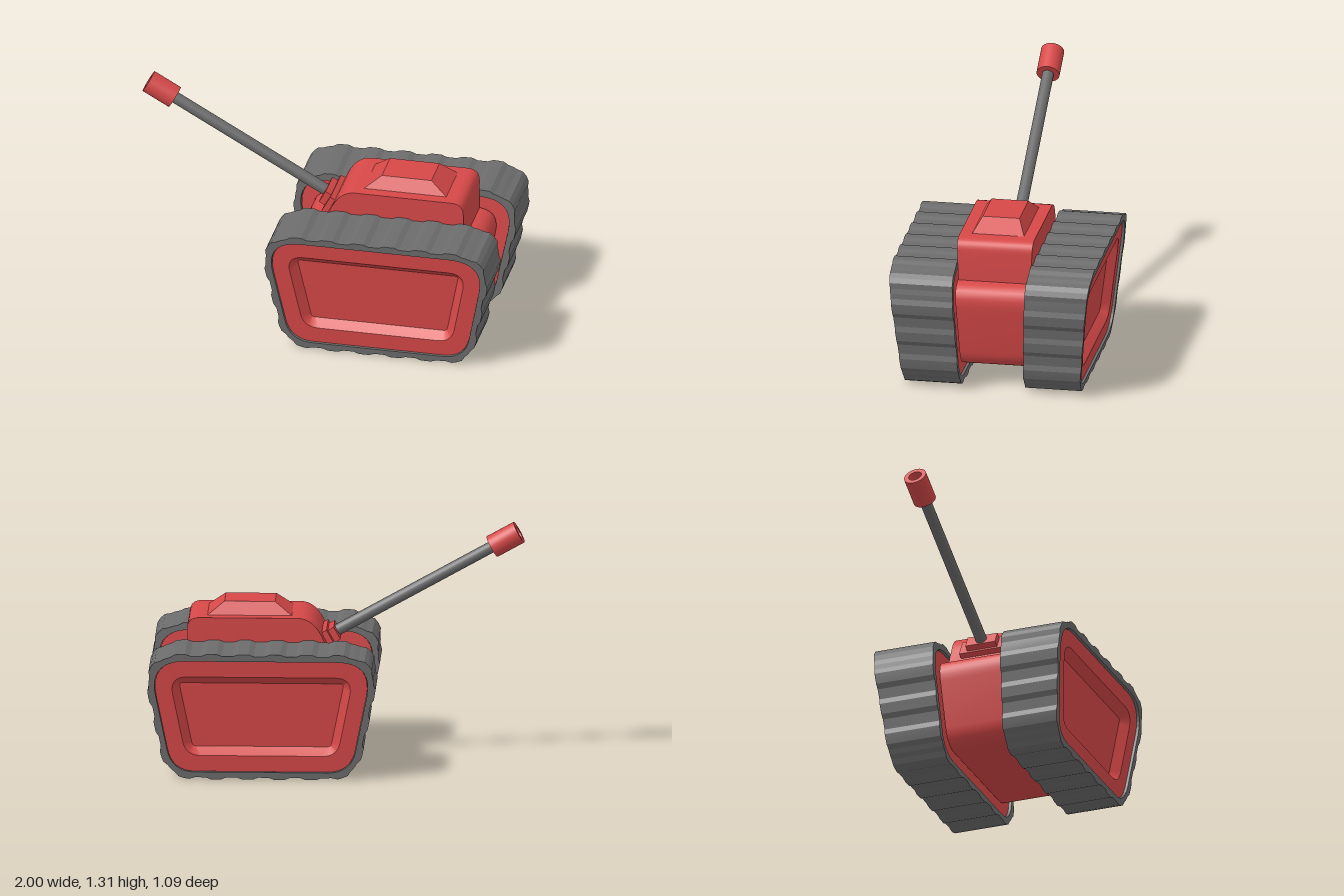
import * as THREE from 'three';
import { toCreasedNormals } from 'three/addons/utils/BufferGeometryUtils.js';

const red = new THREE.MeshStandardMaterial({ color: 0xd64848 });
const grey = new THREE.MeshStandardMaterial({ color: 0x6c6c6c });
const CX = 0.3925; // centre of the vehicle body along x

// Side walls of hull and tracks lean outwards with height
const zIn = (y) => 0.172 + 0.04 * y;
const zOut = (y) => 0.475 + 0.1 * y;

// Rounded trapezoid outline, inset by d, counter-clockwise
function trapezoid(d, cutTop, cutBottom) {
  const top = 0.692 - d, bottom = 0.008 + d;
  const half = (y) => 0.503 + 0.2 * y - 1.02 * d;
  const corners = [
    [-half(bottom), bottom, cutBottom], [half(bottom), bottom, cutBottom],
    [half(top), top, cutTop], [-half(top), top, cutTop],
  ].map(([x, y, cut]) => ({ p: new THREE.Vector2(CX + x, y), cut }));
  const shape = new THREE.Shape();
  corners.forEach(({ p, cut }, i) => {
    const toward = (q) => q.clone().sub(p).setLength(cut).add(p);
    const a = toward(corners[(i + 3) % 4].p), b = toward(corners[(i + 1) % 4].p);
    if (i === 0) shape.moveTo(a.x, a.y); else shape.lineTo(a.x, a.y);
    shape.quadraticCurveTo(p.x, p.y, b.x, b.y);
  });
  shape.closePath();
  return shape;
}

function outline(shape, spaced = 0) {
  const pts = spaced ? shape.getSpacedPoints(spaced) : shape.getPoints(8);
  if (pts[0].distanceTo(pts[pts.length - 1]) < 1e-5) pts.pop();
  return pts;
}

// Skin a list of rings; each ring is [outline points, z as a function of y]
function loft(rings, crease) {
  const pos = [];
  const v = ([pts, z], i) => {
    const p = pts[i % pts.length];
    return [p.x, p.y, z(p.y)];
  };
  for (let r = 0; r + 1 < rings.length; r++) {
    const a = rings[r], b = rings[r + 1];
    for (let i = 0; i < a[0].length; i++) {
      pos.push(...v(a, i), ...v(b, i), ...v(b, i + 1));
      pos.push(...v(a, i), ...v(b, i + 1), ...v(a, i + 1));
    }
  }
  const geo = new THREE.BufferGeometry();
  geo.setAttribute('position', new THREE.Float32BufferAttribute(pos, 3));
  geo.computeVertexNormals();
  return toCreasedNormals(geo, crease);
}

const middle = (pts) => pts.map(() => new THREE.Vector2(CX, 0.36));

// Solid slab across z, capped on both sides
function slab(pts, z) {
  const c = middle(pts).map((p) => p.setY(pts.reduce((s, q) => s + q.y, 0) / pts.length));
  const back = (y) => -z(y);
  return loft([[c, z], [pts, z], [pts, back], [c, back]], 0.5);
}

function add(parent, name, geometry, material) {
  const mesh = new THREE.Mesh(geometry, material);
  mesh.name = name;
  parent.add(mesh);
  return mesh;
}

function makeTrack() {
  const track = new THREE.Group();

  // Tread belt with alternating raised plates
  const N = 120;
  const inner = outline(trapezoid(0.032, 0.2, 0.125), N);
  const outer = outline(trapezoid(0, 0.23, 0.15), N).map((p, i, all) => {
    const a = all[(i + all.length - 1) % all.length], b = all[(i + 1) % all.length];
    const n = new THREE.Vector2(b.y - a.y, a.x - b.x).normalize();
    return p.clone().addScaledVector(n, i % 6 < 3 ? 0.008 : -0.003);
  });
  add(track, 'tread', loft([
    [inner, zOut], [outer, zOut], [outer, zIn], [inner, zIn], [inner, zOut],
  ], 0.12), grey);

  // Side housing with a recessed panel on the outer face
  const rim = outline(trapezoid(0.034, 0.2, 0.125));
  const lip = outline(trapezoid(0.122, 0.1, 0.08));
  const floor = outline(trapezoid(0.165, 0.02, 0.02));
  const face = (y) => zOut(y) - 0.014;
  const deep = (y) => zOut(y) - 0.06;
  const back = (y) => zIn(y) + 0.014;
  add(track, 'sideHousing', loft([
    [middle(rim), deep], [floor, deep], [lip, face], [rim, face], [rim, back], [middle(rim), back],
  ], 0.4), red);
  return track;
}

export function createModel() {
  const model = new THREE.Group();
  model.name = 'tank';

  // Tracks: the far one is the near one turned about the body centre
  const leftTrack = makeTrack();
  leftTrack.name = 'frontTrack';
  const rightTrack = makeTrack();
  rightTrack.name = 'rearTrack';
  rightTrack.rotation.y = Math.PI;
  rightTrack.position.x = 2 * CX;
  model.add(leftTrack, rightTrack);

  // Hull between the tracks
  add(model, 'hull', slab(outline(trapezoid(0.097, 0.14, 0.1)), (y) => zIn(y) + 0.003), red);

  // Upper cabin with a rounded nose and tail
  const cabin = new THREE.Shape();
  cabin.moveTo(0, 0.57);
  cabin.lineTo(0.8, 0.57);
  cabin.lineTo(0.8, 0.755);
  cabin.quadraticCurveTo(0.8, 0.822, 0.735, 0.822);
  cabin.lineTo(0.21, 0.822);
  cabin.quadraticCurveTo(0.12, 0.822, 0.07, 0.7);
  cabin.closePath();
  add(model, 'cabin', slab(outline(cabin), zIn), red);

  // Roof hatch: box tapered towards the top
  const hatch = new THREE.BoxGeometry(0.47, 0.075, 0.29).toNonIndexed();
  const hp = hatch.attributes.position;
  for (let i = 0; i < hp.count; i++) {
    if (hp.getY(i) > 0) hp.setXYZ(i, hp.getX(i) * 0.575, hp.getY(i), hp.getZ(i) * 0.69);
  }
  hatch.computeVertexNormals();
  add(model, 'roofHatch', hatch, red).position.set(0.468, 0.852, 0);

  // Gun, built along y and then tilted
  const gun = new THREE.Group();
  gun.name = 'gun';
  gun.position.set(0.02, 0.705, 0);
  gun.rotation.z = 1.06;
  add(gun, 'mountBase', new THREE.BoxGeometry(0.1, 0.06, 0.26), red).position.y = -0.045;
  add(gun, 'mountPlate', new THREE.BoxGeometry(0.075, 0.05, 0.17), red).position.y = -0.005;
  add(gun, 'barrel', new THREE.CylinderGeometry(0.031, 0.031, 1.04, 24), grey).position.y = 0.5;
  const muzzle = [[0, 0.965], [0.062, 0.965], [0.062, 1.13], [0.036, 1.13], [0.036, 1.05], [0, 1.05]]
    .map(([x, y]) => new THREE.Vector2(x, y));
  add(gun, 'muzzle', toCreasedNormals(new THREE.LatheGeometry(muzzle, 28), 0.6), red);
  model.add(gun);

  return model;
}
